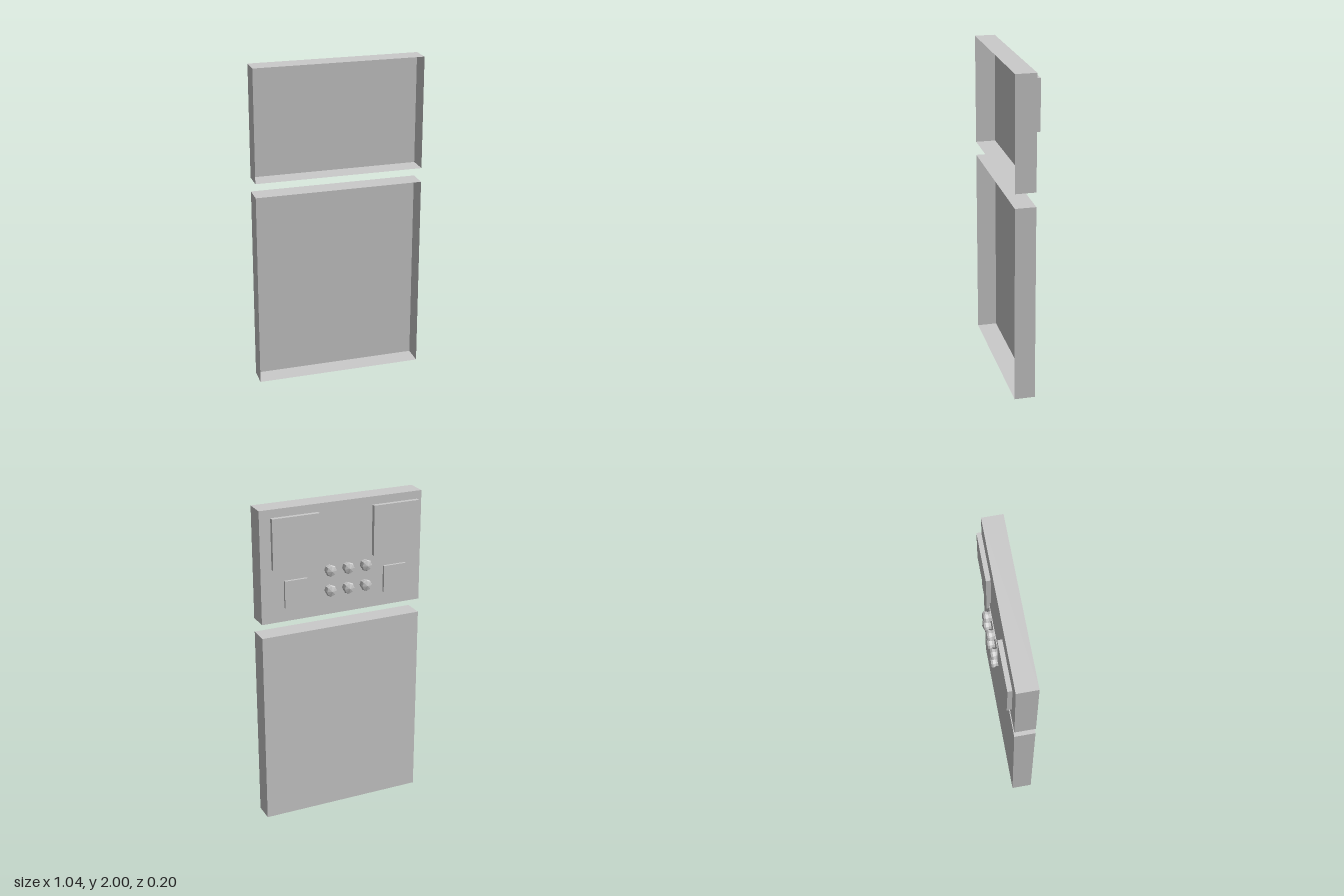
import * as THREE from 'three';

const grey = new THREE.MeshStandardMaterial({ color: 0xcccccc, flatShading: true, side: THREE.DoubleSide });

function add(group, name, geometry, x, y, z) {
  const mesh = new THREE.Mesh(geometry, grey);
  mesh.name = name;
  mesh.position.set(x, y, z);
  group.add(mesh);
}

// Thin-walled tray, open towards +z
function tray(width, height, depth) {
  const geometry = new THREE.BoxGeometry(width, height, depth);
  const index = Array.from(geometry.index.array);
  index.splice(24, 6); // drop the +z face
  geometry.setIndex(index);
  geometry.clearGroups();
  return geometry;
}

export function createModel() {
  const model = new THREE.Group();
  model.name = 'panelSet';

  // Lower and upper panels
  add(model, 'lowerPanel', tray(1.036, 1.222, 0.126), 0, 0.611, 0.037);
  add(model, 'upperPanel', tray(1.036, 0.69, 0.126), 0, 1.655, 0.037);

  // Large and small plates on the back of the upper panel
  const largePlate = new THREE.BoxGeometry(0.295, 0.308, 0.027);
  const smallPlate = new THREE.BoxGeometry(0.146, 0.168, 0.016);
  for (const [side, x] of [['left', 0.306], ['right', -0.336]]) {
    add(model, side + 'LargePlate', largePlate, x, 1.8, -0.05);
    add(model, side + 'SmallPlate', smallPlate, x, 1.484, -0.045);
  }

  // Two rows of three faceted knobs, pointing to -z
  const profile = [[0, 0], [0.03, 0], [0.028, 0.014], [0.036, 0.03], [0.031, 0.041], [0, 0.05]];
  const knob = new THREE.LatheGeometry(profile.map(([r, h]) => new THREE.Vector2(r, h)), 8);
  knob.rotateX(-Math.PI / 2);
  for (const y of [1.602, 1.477]) {
    for (const x of [-0.131, -0.016, 0.099]) add(model, 'knob', knob, x, y, -0.052);
  }

  return model;
}
